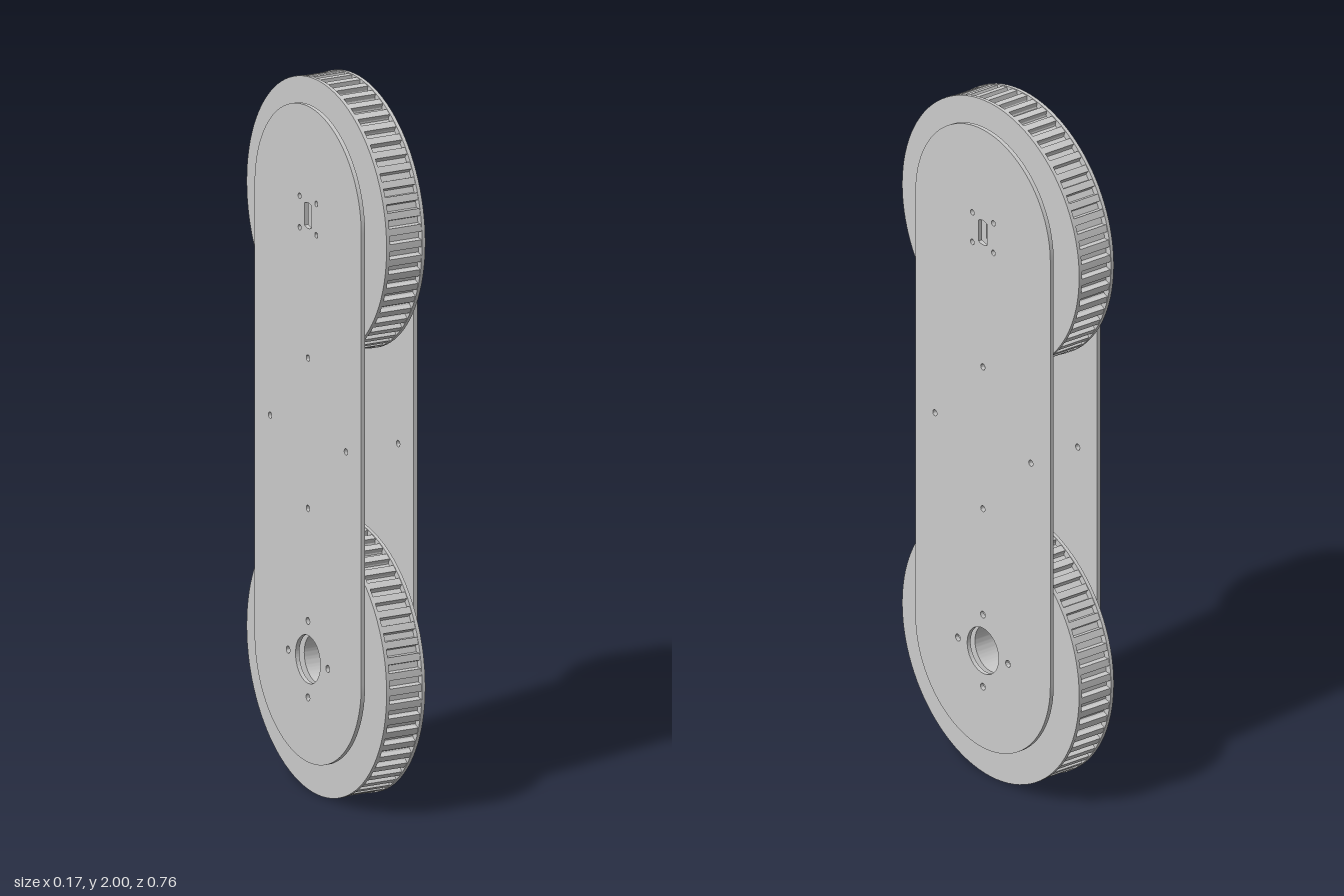
import * as THREE from 'three';
import { toCreasedNormals } from 'three/addons/utils/BufferGeometryUtils.js';

const material = new THREE.MeshStandardMaterial({ color: 0xcccccc });
const LOW_Y = 0.38, HIGH_Y = 1.622, RADIUS = 0.378;

function roundHole(x, y, r) {
  return new THREE.Path().absarc(x, y, r, 0, Math.PI * 2, true);
}

// Round shaft hole with two flat sides
function flatSidedHole(y, r = 0.036, halfWidth = 0.018) {
  const a = Math.acos(halfWidth / r);
  const path = new THREE.Path();
  path.absarc(0, y, r, a, Math.PI - a, false);
  path.absarc(0, y, r, Math.PI + a, Math.PI * 2 - a, false);
  path.closePath();
  return path;
}

// Extrudes a side-view shape along x, centred on the given x
function slab(name, shape, thickness, x) {
  const raw = new THREE.ExtrudeGeometry(shape, { depth: thickness, bevelEnabled: false, curveSegments: 48 });
  raw.translate(0, 0, -thickness / 2).rotateY(Math.PI / 2);
  const mesh = new THREE.Mesh(toCreasedNormals(raw, 0.5), material);
  mesh.name = name;
  mesh.position.x = x;
  return mesh;
}

function plateShape() {
  const r = 0.288;
  const shape = new THREE.Shape();
  shape.absarc(0, 1.642, r, 0, Math.PI, false);
  shape.absarc(0, 0.382, r, Math.PI, Math.PI * 2, false);
  shape.closePath();
  shape.holes.push(roundHole(0, 0.382, 0.067), flatSidedHole(1.624));
  // Bolt holes around the bearing, the motor shaft and the middle
  for (const [x, y] of [[0.107, 0.382], [-0.107, 0.382], [0, 0.489], [0, 0.275]])
    shape.holes.push(roundHole(x, y, 0.01));
  for (const x of [-0.045, 0.045])
    for (const y of [1.58, 1.668]) shape.holes.push(roundHole(x, y, 0.008));
  for (const [x, y] of [[0.205, 1.014], [-0.205, 1.014], [0, 1.225], [0, 0.804]])
    shape.holes.push(roundHole(x, y, 0.009));
  return shape;
}

// Toothed belt outline: lands between slots with slightly rounded floors
function toothedShape(cy, teeth = 55) {
  const pitch = (Math.PI * 2) / teeth;
  const outer = RADIUS - 0.002;
  const profile = [
    [-0.27, outer], [-0.26, outer - 0.013], [-0.2, outer - 0.017],
    [0.2, outer - 0.017], [0.26, outer - 0.013], [0.27, outer], [0.5, outer],
  ];
  const points = [];
  for (let i = 0; i < teeth; i++) {
    for (const [t, r] of profile) {
      const a = Math.PI / 2 + 0.031 + (i + t) * pitch;
      points.push(new THREE.Vector2(Math.cos(a) * r, cy + Math.sin(a) * r));
    }
  }
  return new THREE.Shape(points);
}

function pulley(name, cy, makeBore) {
  const group = new THREE.Group();
  group.name = name;
  const core = toothedShape(cy);
  core.holes.push(makeBore());
  group.add(slab('toothedCore', core, 0.1, 0));
  // Thin flanges closing both ends of the slots
  for (const side of [-1, 1]) {
    const flange = new THREE.Shape().absarc(0, cy, RADIUS, 0, Math.PI * 2, false);
    flange.holes.push(makeBore());
    group.add(slab(side > 0 ? 'leftFlange' : 'rightFlange', flange, 0.01, side * 0.055));
  }
  return group;
}

export function createModel() {
  const model = new THREE.Group();
  model.name = 'beltArm';
  model.add(pulley('lowerPulley', RADIUS, () => roundHole(0, LOW_Y, 0.067)));
  model.add(pulley('upperPulley', HIGH_Y, () => flatSidedHole(HIGH_Y + 0.002)));
  // Side plates
  for (const side of [-1, 1])
    model.add(slab(side > 0 ? 'leftPlate' : 'rightPlate', plateShape(), 0.012, side * 0.081));
  return model;
}
